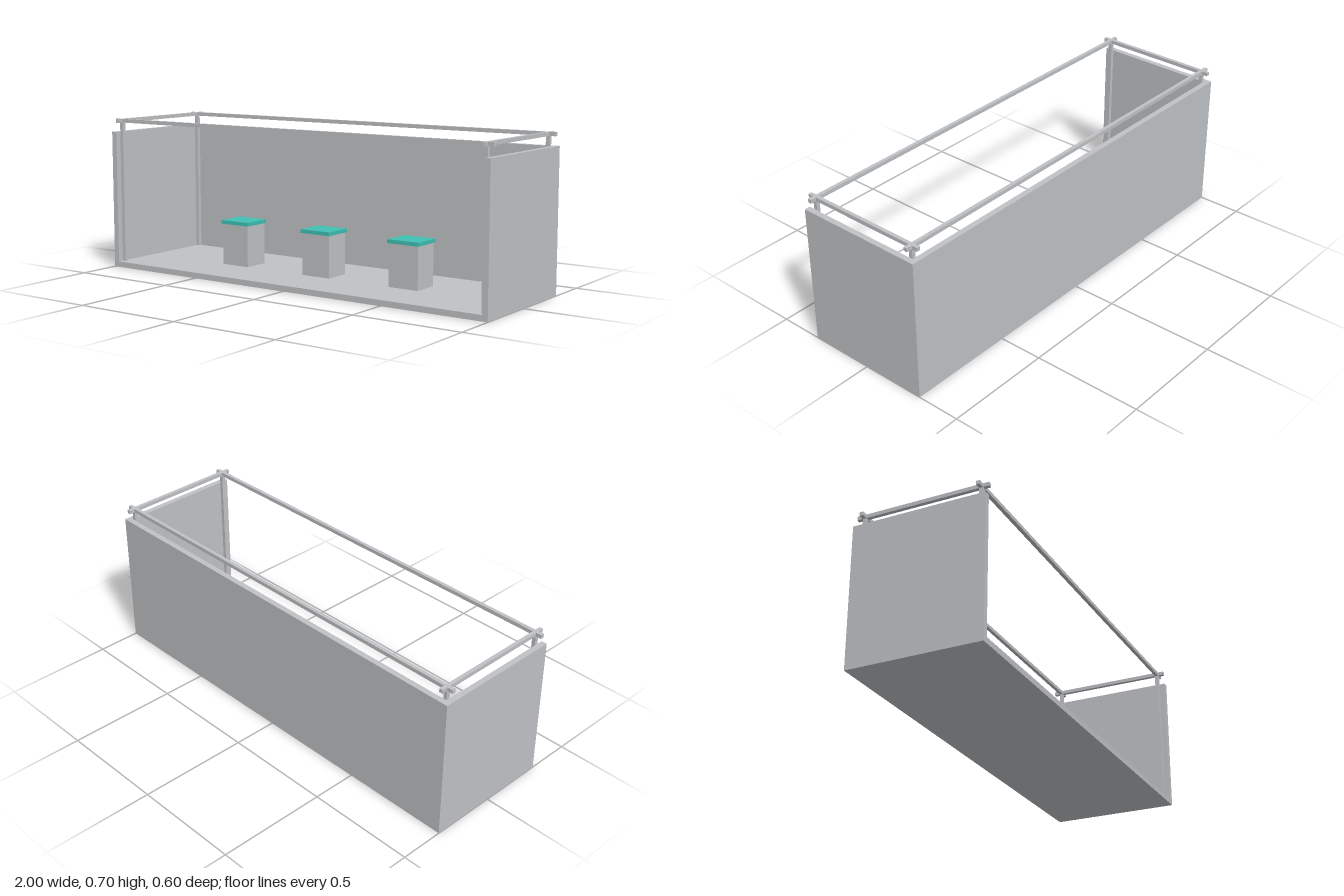
import * as THREE from 'three';

export function createModel() {
  const group = new THREE.Group();
  const grey = new THREE.MeshStandardMaterial({ color: 0xbfc2c5 });
  grey.name = 'lightGrey';
  const teal = new THREE.MeshStandardMaterial({ color: 0x40c0b4 });
  teal.name = 'teal';

  // Box given by its size, its centre in x and z, and its bottom height
  function box(name, material, [w, h, d], x, bottom, z) {
    const mesh = new THREE.Mesh(new THREE.BoxGeometry(w, h, d), material);
    mesh.name = name;
    mesh.position.set(x, bottom + h / 2, z);
    group.add(mesh);
  }

  const wall = 0.026, bar = 0.017, wallTop = 0.64, top = 0.7;
  const inX = 1 - wall, postX = 0.965, postZ = 0.265;

  // Open-fronted booth: floor, back wall and side walls
  box('floor', grey, [2 * inX, wall, 0.6], 0, 0, 0);
  box('backWall', grey, [2 * inX, wallTop - wall, wall], 0, wall, -0.3 + wall / 2);
  for (const [side, s] of [['left', 1], ['right', -1]]) {
    box(side + 'Wall', grey, [wall, wallTop, 0.6], s * (1 - wall / 2), 0, 0);
    // Rail running front to back above each side wall
    box(side + 'Rail', grey, [bar, bar, 0.6], s * postX, top - bar, 0);
    // Corner posts, standing on the floor inside the walls
    for (const [end, e] of [['Front', 1], ['Back', -1]]) {
      box(side + end + 'Post', grey, [bar, top - bar - wall, bar], s * postX, wall, e * postZ);
    }
  }

  // Long rails along the front and back, crossing the side rails
  box('frontRail', grey, [2, bar, bar], 0, top - bar, postZ);
  box('backRail', grey, [2, bar, bar], 0, top - bar, -postZ);

  // Row of three pedestals with overhanging tops
  for (const x of [-0.46, 0, 0.46]) {
    box('pedestal', grey, [0.146, 0.217 - wall, 0.126], x, wall, -0.004);
    box('pedestalTop', teal, [0.157, 0.017, 0.137], x, 0.217, -0.004);
  }

  return group;
}
